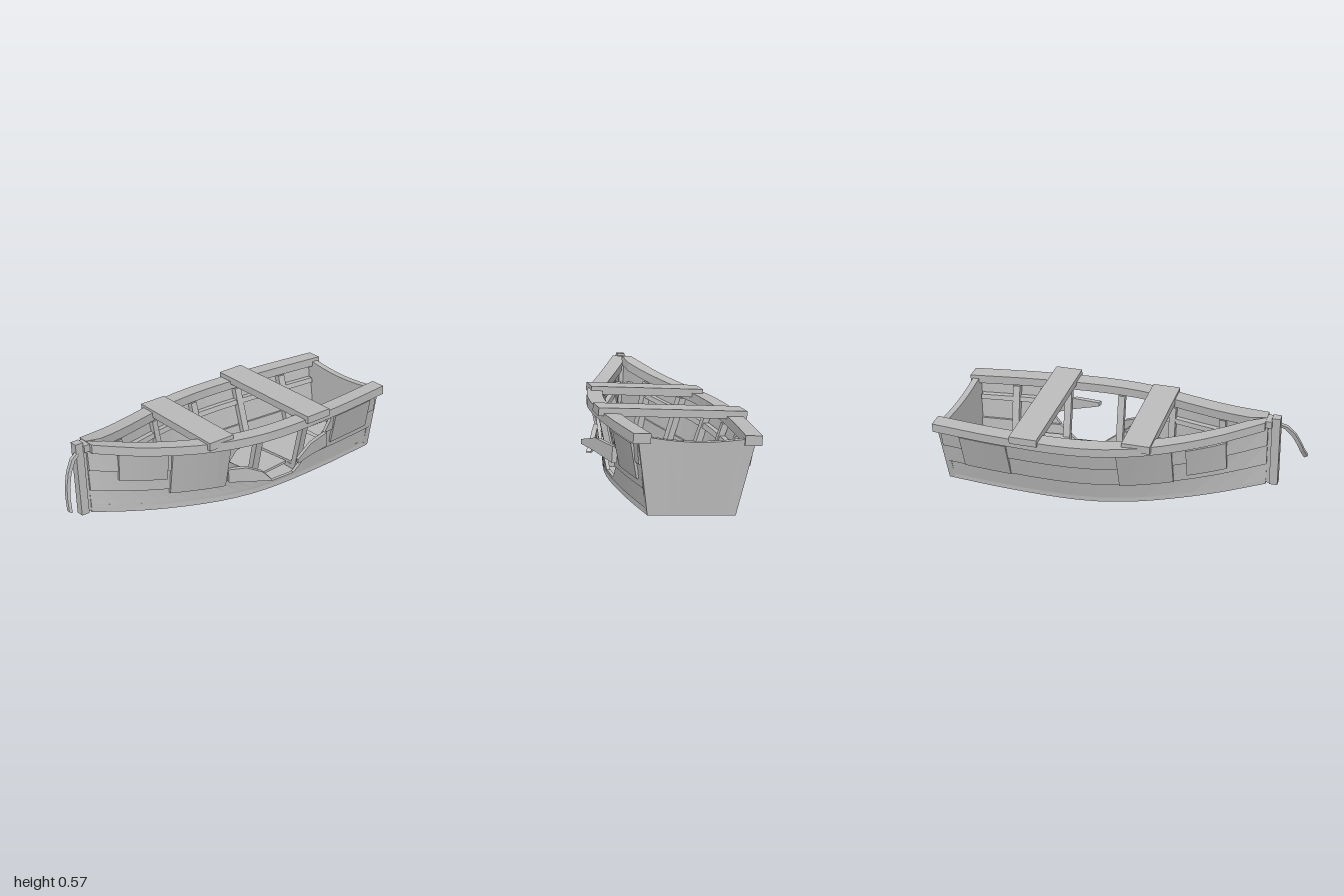
import * as THREE from 'three';

const wood = new THREE.MeshStandardMaterial({ color: 0xbababa });
wood.name = 'weathered wood';

// Smooth curves along the boat's length (z)
const spline = (zs, values) => {
  const f = new THREE.CubicInterpolant(zs, values, 1);
  return z => f.evaluate(Math.min(Math.max(z, zs[0]), zs[zs.length - 1]))[0];
};
const stations = [-1, -0.6, -0.15, 0.1, 0.3, 0.55, 0.8];
const sheerHalf = spline(stations, [0.322, 0.365, 0.378, 0.34, 0.272, 0.168, 0.053]);
const chineHalf = spline(stations, [0.222, 0.25, 0.262, 0.23, 0.175, 0.095, 0.014]);
const sheerY = spline(stations, [0.428, 0.434, 0.444, 0.455, 0.468, 0.502, 0.56]);
const keelY = spline(stations, [0.022, 0.019, 0.03, 0.046, 0.063, 0.095, 0.146]);

// Point on the hull side: v runs from chine to gunwale, off moves it outward
function hullPoint(side, z, v, off) {
  const x = THREE.MathUtils.lerp(chineHalf(z) - 0.008, sheerHalf(z) - 0.03, v) + off;
  const y = THREE.MathUtils.lerp(keelY(z) + 0.03, sheerY(z) - 0.04, v);
  return [side * Math.max(x, 0.001), y, z];
}

// Solid loft through four-cornered rings, with capped ends and flat facets
function loft(name, rings) {
  const p = [];
  const quad = (a, b, c, d) => p.push(...a, ...b, ...c, ...a, ...c, ...d);
  for (let i = 0; i < rings.length - 1; i++) {
    const A = rings[i], B = rings[i + 1];
    for (let k = 0; k < 4; k++) {
      const n = (k + 1) % 4;
      quad(A[k], A[n], B[n], B[k]);
    }
  }
  quad(...[...rings[0]].reverse());
  quad(...rings[rings.length - 1]);
  // Turn the faces outward if the signed volume is negative
  let volume = 0;
  const v = i => new THREE.Vector3(p[i], p[i + 1], p[i + 2]);
  const centre = v(0);
  for (let i = 0; i < p.length; i += 9) {
    volume += v(i).sub(centre).dot(v(i + 3).sub(centre).cross(v(i + 6).sub(centre)));
  }
  if (volume < 0) {
    for (let i = 0; i < p.length; i += 9) {
      for (let k = 0; k < 3; k++) [p[i + 3 + k], p[i + 6 + k]] = [p[i + 6 + k], p[i + 3 + k]];
    }
  }
  const g = new THREE.BufferGeometry();
  g.setAttribute('position', new THREE.Float32BufferAttribute(p, 3));
  g.computeVertexNormals();
  const mesh = new THREE.Mesh(g, wood);
  mesh.name = name;
  return mesh;
}

const steps = (n, f) => Array.from({ length: n + 1 }, (_, i) => f(i / n));
const mix = THREE.MathUtils.lerp;

// Board following the hull; low/high = [start z, end z] of its lower and upper edges
function board(name, side, low, high, v0, v1, offLow, offHigh, thick, n) {
  return loft(name, steps(n, t => {
    const a = mix(low[0], low[1], t), b = mix(high[0], high[1], t);
    return [
      hullPoint(side, a, v0, offLow), hullPoint(side, b, v1, offHigh),
      hullPoint(side, b, v1, offHigh - thick), hullPoint(side, a, v0, offLow - thick),
    ];
  }));
}

function box(name, size, pos, yaw = 0) {
  const m = new THREE.Mesh(new THREE.BoxGeometry(...size), wood);
  m.name = name;
  m.position.set(...pos);
  m.rotation.y = yaw;
  return m;
}

export function createModel() {
  const model = new THREE.Group();
  const boat = new THREE.Group();
  boat.name = 'wreckedRowingBoat';
  boat.rotation.z = 0.066; // the boat lies slightly heeled
  model.add(boat);

  // Flat bottom of four tapering planks with narrow seams
  for (let k = -2; k < 2; k++) {
    boat.add(loft('bottomPlank', steps(18, t => {
      const z = mix(-0.97, 0.8, t), w = chineHalf(z) / 2, y = keelY(z);
      const seam = w * 0.006, a = k * w + seam, b = (k + 1) * w - seam;
      return [[a, y, z], [b, y, z], [b, y + 0.04, z], [a, y + 0.04, z]];
    })));
  }

  // Transom with a dipped top edge
  boat.add(loft('transom', steps(8, t => {
    const s = t * 2 - 1, top = 0.418 - 0.03 * (1 - s * s);
    return [[s * 0.223, 0.022, -0.975], [s * 0.298, top, -0.988],
      [s * 0.298, top, -0.952], [s * 0.223, 0.022, -0.94]];
  })));

  // Overlapping planks, gunwales and inner rails
  const bow = 0.8, stern = -0.968;
  const seams = [0, 0.3, 0.65, 1];
  const plank = (side, low, high, v0, v1, o0, o1) =>
    board('sidePlank', side, low, high, v0, v1, o0, o1, 0.02, 14);
  for (let i = 0; i < 3; i++) {
    boat.add(plank(-1, [stern, bow], [stern, bow], seams[i], seams[i + 1] + 0.01, 0.012, 0));
  }
  for (const side of [-1, 1]) {
    boat.add(loft('gunwale', steps(18, t => {
      const z = mix(-1, 0.79, t), w = sheerHalf(z), y = sheerY(z);
      const a = side * w, b = side * Math.max(w - 0.087, 0.001);
      return [[a, y - 0.05, z], [a, y, z], [b, y, z], [b, y - 0.05, z]];
    })));
    const spans = side < 0 ? [[-0.94, 0.7]] : [[-0.94, -0.62], [0.1, 0.7]];
    for (const s of spans) boat.add(board('innerRail', side, s, s, 0.68, 0.76, -0.015, -0.015, 0.03, 10));
  }

  // Broken left side: planks stop at a ragged hole
  boat.add(plank(1, [stern, bow], [stern, bow], 0, 0.05, 0.012, 0.01));
  const broken = [
    { v: [0.05, 0.31], aft: [-0.37, -0.47], fore: [-0.21, -0.09], off: [0.01, 0] },
    { v: [0.3, 0.66], aft: [-0.47, -0.58], fore: [-0.09, 0.08], off: [0.012, 0] },
    { v: [0.65, 0.88], aft: [-0.56, -0.6], fore: [0.1, 0.06], off: [0.012, 0.004] },
    { v: [0.88, 1], aft: [-0.6, -0.5], fore: [0.06, -0.02], off: [0.004, 0] },
  ];
  for (const { v, aft, fore, off } of broken) {
    boat.add(plank(1, [stern, aft[0]], [stern, aft[1]], ...v, ...off));
    boat.add(plank(1, [fore[0], bow], [fore[1], bow], ...v, ...off));
  }

  // Splintered planks bent out of the hole
  const splinter = rings => loft('splinteredPlank', rings.map(([x, z, y0, y1]) =>
    [[x, y0, z], [x, y1, z], [x - 0.025, y1, z - 0.008], [x - 0.025, y0, z - 0.008]]));
  boat.add(splinter([[0.292, 0.1, 0.185, 0.262], [0.32, 0, 0.165, 0.25], [0.35, -0.09, 0.15, 0.205], [0.372, -0.13, 0.148, 0.155]]));
  boat.add(splinter([[0.325, -0.57, 0.19, 0.275], [0.385, -0.4, 0.215, 0.285], [0.43, -0.27, 0.225, 0.25]]));

  // Thin repair patches nailed over the planks
  const patches = [
    [1, 0.1, 0.4, 0.22, 0.98], [1, 0.42, 0.66, 0.5, 0.96], [1, -0.91, -0.62, 0.4, 0.92],
    [-1, 0.05, 0.33, 0.3, 0.98], [-1, 0.4, 0.6, 0.4, 0.92], [-1, -0.85, -0.57, 0.3, 0.92],
  ];
  for (const [side, z0, z1, v0, v1] of patches) {
    boat.add(board('repairPatch', side, [z0, z1], [z0, z1], v0, v1, 0.019, 0.017, 0.014, 5));
  }

  // Rib frames: two uprights and a floor beam
  for (const z of [-0.73, -0.42, -0.1, 0.22, 0.53]) {
    for (const side of [-1, 1]) {
      const s = [z - 0.02, z + 0.02];
      boat.add(board('rib', side, s, s, 0.08, 0.95, -0.018, -0.018, 0.035, 1));
    }
    boat.add(box('floorBeam', [(chineHalf(z) - 0.02) * 2, 0.03, 0.04], [0, keelY(z) + 0.053, z]));
  }

  // Loose floor boards
  boat.add(box('looseFloorBoard', [0.4, 0.015, 0.31], [0.03, 0.1, -0.54], 0.09));
  boat.add(box('looseFloorBoard', [0.43, 0.015, 0.33], [0.0, 0.105, -0.19], 0.11));

  // Seats laid across the gunwales
  boat.add(box('seat', [0.79, 0.042, 0.155], [0.003, 0.443, -0.447]));
  boat.add(box('seat', [0.64, 0.045, 0.155], [0, 0.455, 0.157]));

  // Stem post and its bow blocks
  boat.add(box('stemPost', [0.046, 0.415, 0.045], [0, 0.361, 0.842]));
  boat.add(box('bowApron', [0.024, 0.37, 0.05], [0, 0.34, 0.805]));
  boat.add(box('bowBlock', [0.075, 0.04, 0.035], [0, 0.535, 0.805]));

  // Mooring line hanging from the bow
  const line = new THREE.CatmullRomCurve3([
    [0.015, 0.515, 0.855], [0.03, 0.49, 0.9], [0.058, 0.41, 0.947], [0.08, 0.345, 0.968], [0.126, 0.27, 0.99],
  ].map(a => new THREE.Vector3(...a)));
  const ring = c => [[-0.011, -0.009], [0.011, -0.009], [0.011, 0.009], [-0.011, 0.009]]
    .map(([dx, dz]) => [c.x + dx, c.y + dz * 0.6, c.z + dz]);
  boat.add(loft('mooringLine', steps(5, t => ring(line.getPoint(t)))));

  return model;
}
